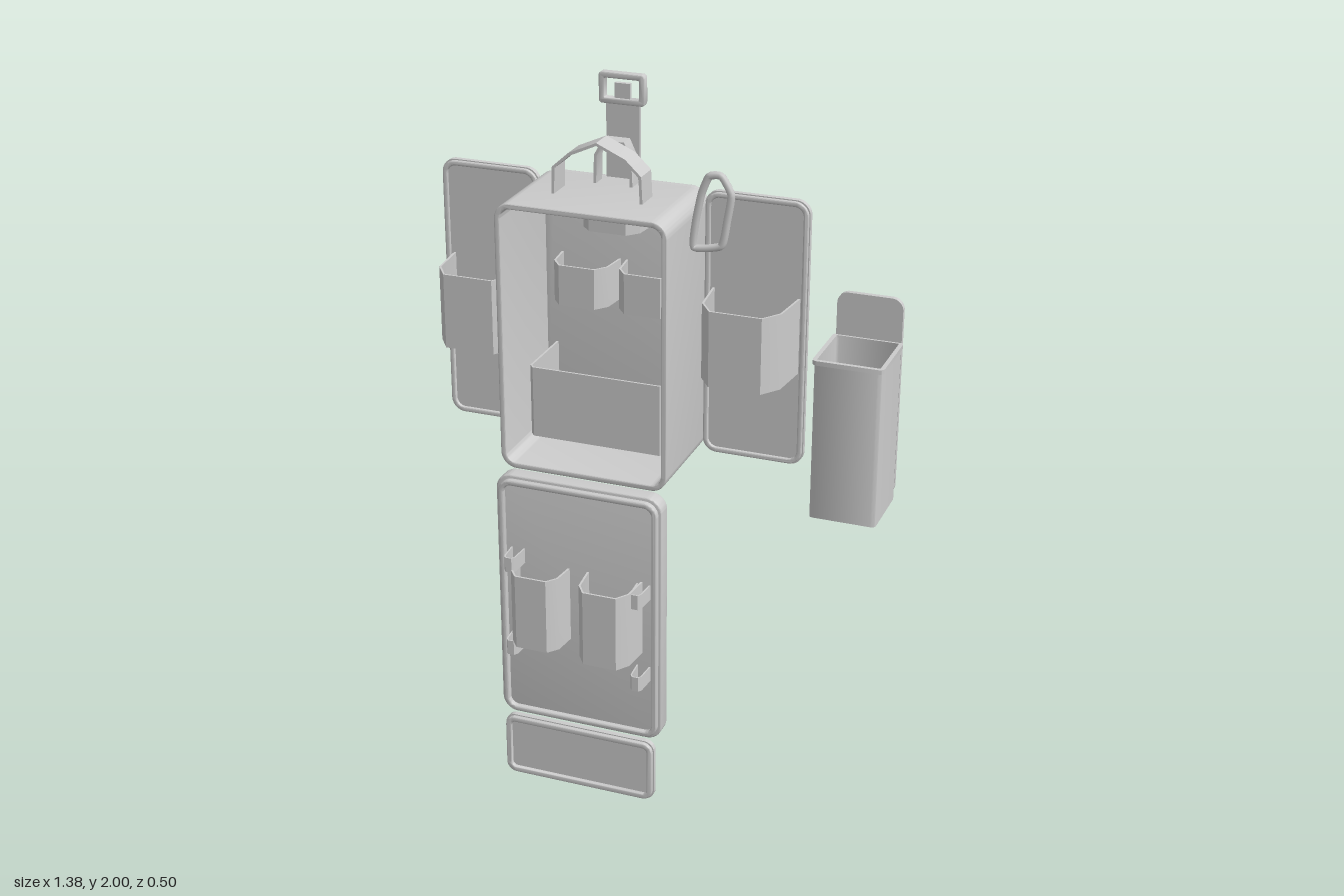
import * as THREE from 'three';
import { toCreasedNormals } from 'three/addons/utils/BufferGeometryUtils.js';

const fabric = new THREE.MeshStandardMaterial({ color: 0xcccccc, side: THREE.DoubleSide });
fabric.name = 'light grey fabric';

// Rounded rectangle outline, drawn on a Shape or a Path
function roundRect(path, x0, x1, y0, y1, r) {
  path.moveTo(x0 + r, y0);
  path.lineTo(x1 - r, y0);
  path.absarc(x1 - r, y0 + r, r, -Math.PI / 2, 0);
  path.lineTo(x1, y1 - r);
  path.absarc(x1 - r, y1 - r, r, 0, Math.PI / 2);
  path.lineTo(x0 + r, y1);
  path.absarc(x0 + r, y1 - r, r, Math.PI / 2, Math.PI);
  path.lineTo(x0, y0 + r);
  path.absarc(x0 + r, y0 + r, r, Math.PI, Math.PI * 1.5);
  return path;
}

// Ribbon outline of thickness t along an open polyline
function ribbonShape(points, t) {
  const p = points.map(([x, y]) => new THREE.Vector2(x, y));
  const left = [], right = [];
  p.forEach((v, i) => {
    const a = p[Math.max(i - 1, 0)], b = p[Math.min(i + 1, p.length - 1)];
    const d = b.clone().sub(a).normalize();
    const n = new THREE.Vector2(-d.y, d.x).multiplyScalar(t / 2);
    left.push(v.clone().add(n));
    right.unshift(v.clone().sub(n));
  });
  return new THREE.Shape([...left, ...right]);
}

function extrude(shape, z0, z1, bevel = 0) {
  const geo = new THREE.ExtrudeGeometry(shape, {
    depth: z1 - z0 - 2 * bevel, curveSegments: 8, bevelEnabled: bevel > 0,
    bevelSize: bevel, bevelThickness: bevel, bevelOffset: -bevel, bevelSegments: 3,
  });
  geo.translate(0, 0, z0 + bevel);
  return toCreasedNormals(geo, 0.6);
}

export function createModel() {
  const model = new THREE.Group();
  model.name = 'unfoldedBag';

  const add = (name, geo) => {
    const mesh = new THREE.Mesh(geo, fabric);
    mesh.name = name;
    model.add(mesh);
    return mesh;
  };
  const box = (name, x0, x1, y0, y1, z0, z1) => add(name,
    new THREE.BoxGeometry(x1 - x0, y1 - y0, z1 - z0)
      .translate((x0 + x1) / 2, (y0 + y1) / 2, (z0 + z1) / 2));
  const plate = (name, x0, x1, y0, y1, z0, z1, r, bevel = 0) =>
    add(name, extrude(roundRect(new THREE.Shape(), x0, x1, y0, y1, r), z0, z1, bevel));
  const frame = (name, x0, x1, y0, y1, z0, z1, r, w, bevel = 0) => {
    const s = roundRect(new THREE.Shape(), x0, x1, y0, y1, r);
    s.holes.push(roundRect(new THREE.Path(), x0 + w, x1 - w, y0 + w, y1 - w, Math.max(r - w, 0.003)));
    return add(name, extrude(s, z0, z1, bevel));
  };
  // Upright sleeve: polyline in x and z, swept from y0 to y1
  const sleeve = (name, pts, y0, y1, t = 0.006) => add(name,
    extrude(ribbonShape(pts.map(([x, z]) => [x, -z]), t), y0, y1).rotateX(-Math.PI / 2));
  // Pocket bulging forward from zBack to zFront, with chamfered corners
  const pocket = (name, x0, x1, y0, y1, zBack, zFront) => {
    const w = x1 - x0, d = zFront - zBack;
    sleeve(name, [[x0, zBack], [x0 + 0.05 * w, zBack + 0.7 * d], [x0 + 0.2 * w, zFront],
      [x1 - 0.2 * w, zFront], [x1 - 0.05 * w, zBack + 0.7 * d], [x1, zBack]], y0, y1);
  };
  // Small webbing loop
  const clip = (x0, x1, y0, y1, zBack, zFront) => sleeve('smallLoop',
    [[x0, zBack], [x0 + 0.004, zFront - 0.01], [x0 + 0.01, zFront],
      [x1 - 0.01, zFront], [x1 - 0.004, zFront - 0.01], [x1, zBack]], y0, y1, 0.004);

  // Main compartment, open to the front
  frame('bagWalls', -0.40, 0.083, 0.953, 1.713, -0.20, 0.104, 0.045, 0.016, 0.003);
  plate('bagBack', -0.395, 0.078, 0.96, 1.708, -0.235, -0.195, 0.05, 0.008);

  // Webbing on the back
  for (const x of [-0.298, -0.158, -0.02]) box('verticalWebbing', x - 0.05, x + 0.05, 1.03, 1.635, -0.243, -0.233);
  for (const y of [1.135, 1.335, 1.53]) box('horizontalWebbing', -0.375, 0.075, y - 0.033, y + 0.033, -0.251, -0.241);

  // Inner pockets
  pocket('innerTopPocket', -0.25, -0.075, 1.59, 1.65, -0.2, -0.1);
  pocket('innerPocket', -0.335, -0.165, 1.37, 1.485, -0.2, -0.09);
  pocket('innerPocket', -0.145, 0.025, 1.37, 1.485, -0.2, -0.09);
  sleeve('largeInnerPocket', [[-0.355, -0.2], [-0.355, -0.012], [-0.345, 0], [0.025, 0], [0.035, -0.012], [0.035, -0.2]], 1.01, 1.215);
  clip(0.02, 0.06, 1.445, 1.49, -0.2, -0.14);
  clip(0.02, 0.06, 1.19, 1.235, -0.2, -0.14);

  // Side wings, each with a sleeve pocket
  for (const [x0, x1, p0, p1] of [[-0.69, -0.40, -0.662, -0.425], [0.08, 0.372, 0.107, 0.348]]) {
    plate('sideWing', x0, x1, 0.953, 1.713, -0.207, -0.192, 0.04);
    frame('sideWingRim', x0 + 0.003, x1 - 0.003, 0.956, 1.71, -0.195, -0.184, 0.04, 0.014, 0.003);
    pocket('sideWingPocket', p0, p1, 1.225, 1.44, -0.192, -0.022);
  }

  // Front cover folded down
  plate('frontCover', -0.402, 0.083, 0.194, 0.947, 0.092, 0.137, 0.045, 0.004);
  frame('frontCoverRim', -0.392, 0.074, 0.204, 0.937, 0.13, 0.152, 0.04, 0.016, 0.004);
  pocket('coverPocket', -0.34, -0.19, 0.468, 0.69, 0.135, 0.23);
  pocket('coverPocket', -0.133, 0.025, 0.468, 0.69, 0.135, 0.25);
  for (const [x, y] of [[-0.36, 0.683], [-0.36, 0.422], [0.012, 0.64], [0.012, 0.383]])
    clip(x, x + 0.037, y, y + 0.044, 0.135, 0.203);

  // Strap, buckle and plus patch on the outside of the cover
  box('coverStrap', -0.265, -0.165, 0.22, 0.935, 0.085, 0.094);
  frame('coverBuckleFrame', -0.285, -0.145, 0.46, 0.625, 0.064, 0.088, 0.015, 0.016, 0.003);
  box('coverBucklePad', -0.262, -0.168, 0.545, 0.605, 0.056, 0.088);
  box('coverBuckleBar', -0.275, -0.155, 0.515, 0.535, 0.05, 0.085);
  box('coverBuckleTongue', -0.245, -0.185, 0.48, 0.52, 0.062, 0.088);
  plate('patch', -0.115, 0.06, 0.46, 0.64, 0.08, 0.094, 0.012);
  const a = 0.02, b = 0.062;
  const plus = new THREE.Shape([[a, b], [-a, b], [-a, a], [-b, a], [-b, -a], [-a, -a], [-a, -b],
    [a, -b], [a, -a], [b, -a], [b, a], [a, a]].map(([x, y]) => new THREE.Vector2(x - 0.028, y + 0.55)));
  add('patchPlus', extrude(plus, 0.068, 0.082));

  // Lower flap
  plate('lowerFlap', -0.386, 0.068, 0.003, 0.193, 0.14, 0.155, 0.03);
  frame('lowerFlapRim', -0.383, 0.065, 0.006, 0.19, 0.152, 0.166, 0.03, 0.016, 0.003);

  // Carry handle and small hang loop on top
  add('carryHandle', extrude(ribbonShape([[-0.283, 1.70], [-0.28, 1.785], [-0.235, 1.825], [-0.158, 1.86],
    [-0.08, 1.825], [-0.037, 1.785], [-0.033, 1.70]], 0.008), -0.087, -0.015));
  add('hangLoop', extrude(ribbonShape([[-0.213, 1.70], [-0.21, 1.79], [-0.19, 1.83],
    [-0.13, 1.83], [-0.112, 1.79], [-0.108, 1.70]], 0.008), -0.178, -0.135));

  // Closing strap with buckle
  box('closingStrap', -0.21, -0.115, 1.66, 1.925, -0.226, -0.214);
  frame('closingBuckle', -0.225, -0.095, 1.915, 2.0, -0.222, -0.198, 0.01, 0.016, 0.003);
  box('closingBuckleTongue', -0.182, -0.138, 1.925, 1.972, -0.217, -0.204);

  // Loose ring clip beside the bag
  const ring = [[0.115, 1.617], [0.12, 1.69], [0.135, 1.765], [0.155, 1.813], [0.188, 1.817],
    [0.215, 1.77], [0.205, 1.7], [0.19, 1.63]].map(([x, y]) => new THREE.Vector3(x, y, -0.009));
  const ringPath = new THREE.CatmullRomCurve3(ring, true, 'catmullrom', 0.25);
  add('ringClip', new THREE.TubeGeometry(ringPath, 64, 0.0105, 8, true));

  // Detached pouch: open box with a tall back panel
  const wall = frame('pouchWalls', 0.505, 0.682, -0.188, 0.0, 1.005, 1.43, 0.012, 0.006);
  const rim = frame('pouchRim', 0.50, 0.686, -0.19, 0.005, 1.424, 1.436, 0.014, 0.011);
  const base = plate('pouchBase', 0.505, 0.682, -0.188, 0.0, 1.0, 1.01, 0.012);
  for (const m of [wall, rim, base]) m.geometry.rotateX(-Math.PI / 2);
  plate('pouchBackPanel', 0.507, 0.68, 1.003, 1.553, -0.014, 0.0, 0.03);

  return model;
}
